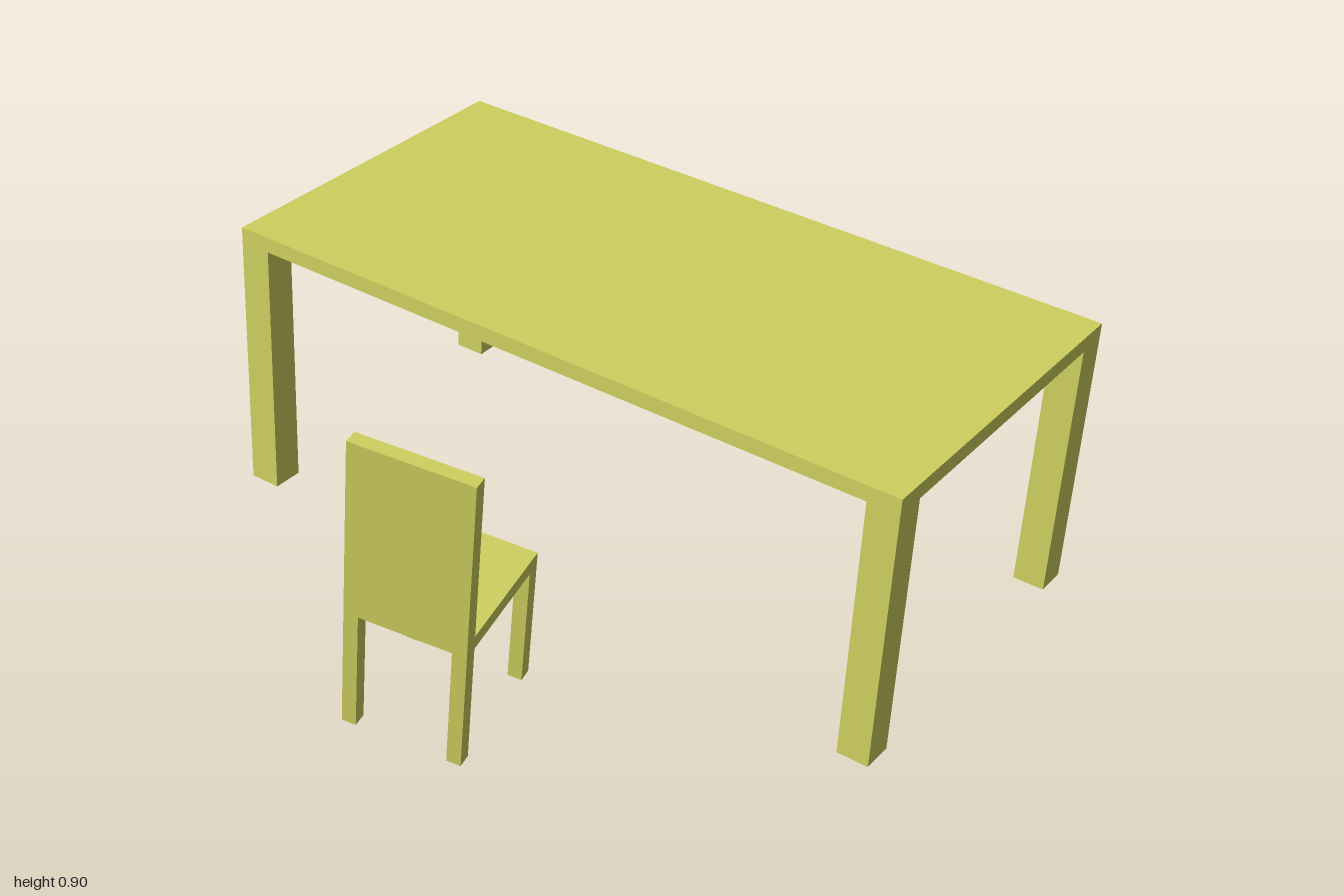
import * as THREE from 'three';

const olive = new THREE.MeshStandardMaterial({ color: 0xcfd05e });
olive.name = 'olive yellow';

// Box spanning [min, max] on each axis
function block(parent, name, min, max) {
  const size = max.map((v, i) => v - min[i]);
  const mesh = new THREE.Mesh(new THREE.BoxGeometry(...size), olive);
  mesh.position.set(...max.map((v, i) => (v + min[i]) / 2));
  mesh.name = name;
  parent.add(mesh);
}

// Group placed at `origin`, its local x and z axes following the given directions
function tiltedGroup(name, origin, xDir, zDir) {
  const x = new THREE.Vector3(...xDir).normalize();
  const y = new THREE.Vector3(...zDir).cross(x).normalize();
  const z = new THREE.Vector3().crossVectors(x, y);
  const group = new THREE.Group();
  group.name = name;
  group.quaternion.setFromRotationMatrix(new THREE.Matrix4().makeBasis(x, y, z));
  group.position.set(...origin);
  return group;
}

// Four square legs flush with the corners of a w by d plan
function addLegs(parent, w, d, side, top, bottom) {
  for (const sx of [-1, 1]) for (const sz of [-1, 1]) {
    const cx = sx * (w - side) / 2, cz = sz * (d - side) / 2, h = side / 2;
    const name = (sz > 0 ? 'front' : 'back') + (sx > 0 ? 'Left' : 'Right') + 'Leg';
    block(parent, name, [cx - h, bottom, cz - h], [cx + h, top, cz + h]);
  }
}

export function createModel() {
  const model = new THREE.Group();
  model.name = 'tableAndChair';

  // Table: local y = 0 is the upper surface
  const table = tiltedGroup('table', [0.209, 0.858, 0.008], [0.92, -0.004, -0.143], [0.286, -0.081, 1.82]);
  const w = 0.931, d = 1.844;
  block(table, 'tableTop', [-w / 2, -0.04, -d / 2], [w / 2, 0, d / 2]);
  addLegs(table, w, d, 0.082, 0, -0.725);
  model.add(table);

  // Chair: local y = 0 is the seat surface, local +x is the chair's front
  const chair = tiltedGroup('chair', [-0.58, 0.409, 0.072], [0.3, 0.025, -0.11], [0.105, -0.037, 0.29]);
  const depth = 0.357, width = 0.31, t = 0.037;
  block(chair, 'seat', [-depth / 2 + t, -t, -width / 2], [depth / 2, 0, width / 2]);
  block(chair, 'backrest', [-depth / 2, -t, -width / 2], [-depth / 2 + t, 0.456, width / 2]);
  addLegs(chair, depth, width, t, -t, -0.378);
  model.add(chair);

  return model;
}
